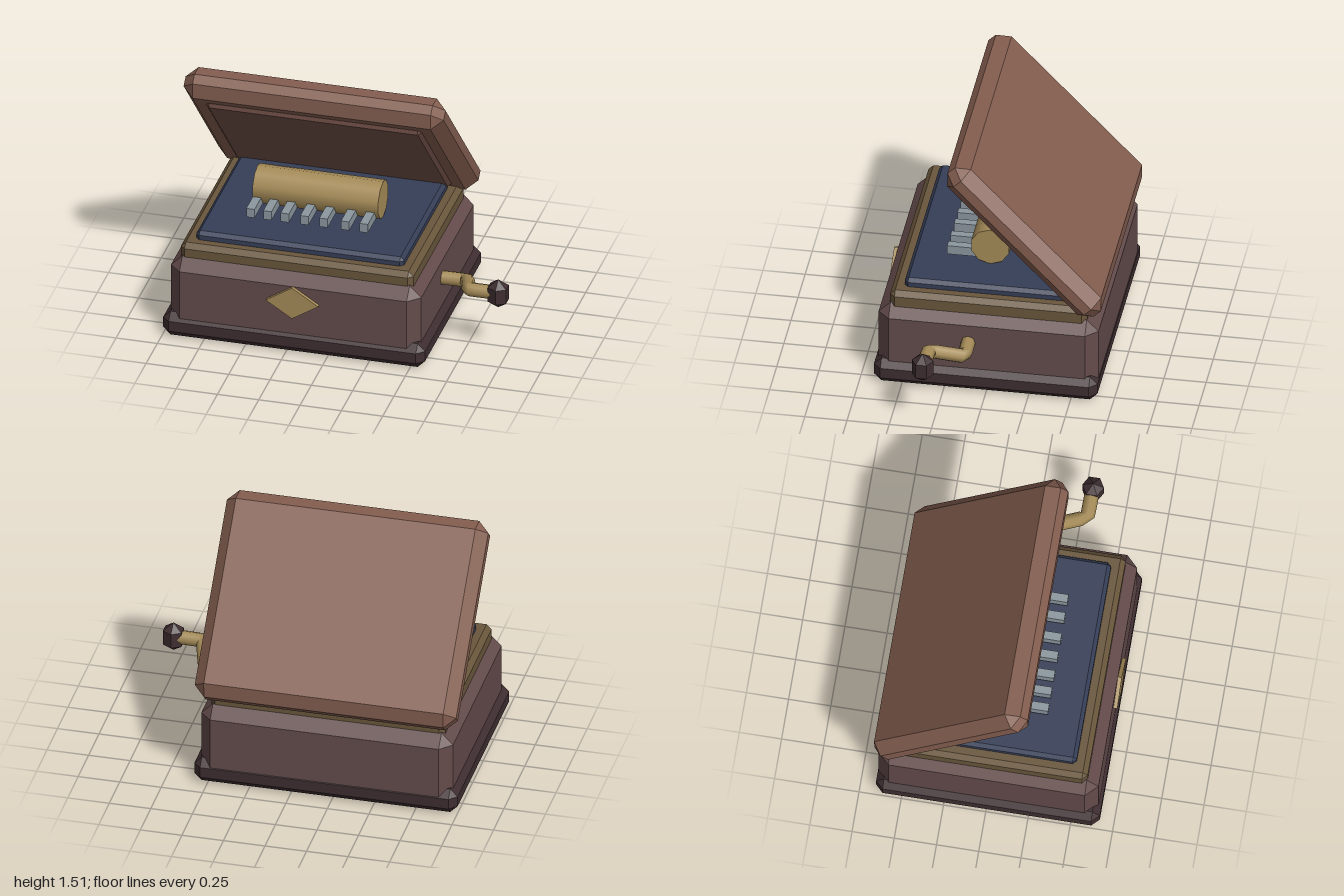
import * as THREE from 'three';
import { ConvexGeometry } from 'three/addons/geometries/ConvexGeometry.js';

const mat = (name, color) => {
  const m = new THREE.MeshStandardMaterial({ color });
  m.name = name;
  return m;
};

// Box with every edge and corner cut off by c
function chamferBox(w, h, d, c) {
  const pts = [];
  const [x, y, z] = [w / 2, h / 2, d / 2];
  for (const i of [-1, 1]) for (const j of [-1, 1]) for (const k of [-1, 1]) {
    pts.push(
      new THREE.Vector3(i * x, j * (y - c), k * (z - c)),
      new THREE.Vector3(i * (x - c), j * y, k * (z - c)),
      new THREE.Vector3(i * (x - c), j * (y - c), k * z)
    );
  }
  return new ConvexGeometry(pts);
}

export function createModel() {
  const group = new THREE.Group();
  group.name = 'musicBox';
  const darkWood = mat('dark wood', 0x3f2e31);
  const bodyWood = mat('plum wood', 0x644b4b);
  const lidWood = mat('lid wood', 0x845e50);
  const lidInner = mat('lid lining', 0x74524a);
  const trimGold = mat('dull gold', 0x6a573c);
  const brass = mat('brass', 0xa68c58);
  const navy = mat('navy', 0x363f58);
  const steel = mat('steel', 0x8c989f);

  const add = (parent, name, geometry, material, x = 0, y = 0, z = 0) => {
    const m = new THREE.Mesh(geometry, material);
    m.name = name;
    m.position.set(x, y, z);
    parent.add(m);
    return m;
  };
  const CX = -0.207; // centre of the case, the crank fills the rest

  // Stacked case
  add(group, 'base', chamferBox(1.585, 0.155, 1.324, 0.045), darkWood, CX, 0.0775, 0.006);
  add(group, 'body', chamferBox(1.515, 0.475, 1.302, 0.07), bodyWood, CX, 0.2725, -0.001);
  add(group, 'topTrim', chamferBox(1.408, 0.13, 1.168, 0.03), trimGold, CX, 0.525, 0);
  add(group, 'deck', chamferBox(1.257, 0.09, 1.0, 0.022), navy, CX, 0.596, 0.008);

  // Open lid with a raised inner panel
  const lid = new THREE.Group();
  lid.name = 'lid';
  lid.position.set(CX, 1.035, -0.217);
  lid.rotation.x = -0.81;
  group.add(lid);
  add(lid, 'lidShell', chamferBox(1.573, 0.193, 1.252, 0.066), lidWood);
  add(lid, 'lidPanel', chamferBox(1.304, 0.08, 1.0, 0.02), lidInner, 0, -0.077, 0);

  // Music cylinder
  const drum = new THREE.CylinderGeometry(0.117, 0.117, 0.76, 10);
  drum.rotateZ(Math.PI / 2).rotateX(Math.PI / 2);
  add(group, 'musicCylinder', drum, brass, CX, 0.755, 0.042);

  // Comb teeth
  for (const x of [-0.56, -0.457, -0.352, -0.233, -0.118, 0.013, 0.126]) {
    add(group, 'combTooth', new THREE.BoxGeometry(0.05, 0.057, 0.19), steel, x, 0.693, 0.205);
  }

  // Diamond plate on the front
  const diamond = new THREE.Shape([
    new THREE.Vector2(0.159, 0), new THREE.Vector2(0, 0.102),
    new THREE.Vector2(-0.159, 0), new THREE.Vector2(0, -0.102)
  ]);
  add(group, 'diamondPlate', new THREE.ExtrudeGeometry(diamond, { depth: 0.04, bevelEnabled: false }),
    brass, CX, 0.341, 0.633);

  // Crank arm and knob
  const path = new THREE.CatmullRomCurve3([
    new THREE.Vector3(0.5, 0.325, 0.11), new THREE.Vector3(0.7, 0.327, 0.11),
    new THREE.Vector3(0.765, 0.383, 0.305), new THREE.Vector3(0.94, 0.386, 0.31)
  ], false, 'catmullrom', 0.08);
  add(group, 'crankArm', new THREE.TubeGeometry(path, 14, 0.043, 8), brass);
  const knob = new THREE.SphereGeometry(0.074, 6, 3);
  knob.rotateY(Math.PI / 2).scale(1, 1.25, 1);
  const k = add(group, 'crankKnob', knob.toNonIndexed(), darkWood, 0.943, 0.384, 0.312);
  k.geometry.computeVertexNormals();

  return group;
}
